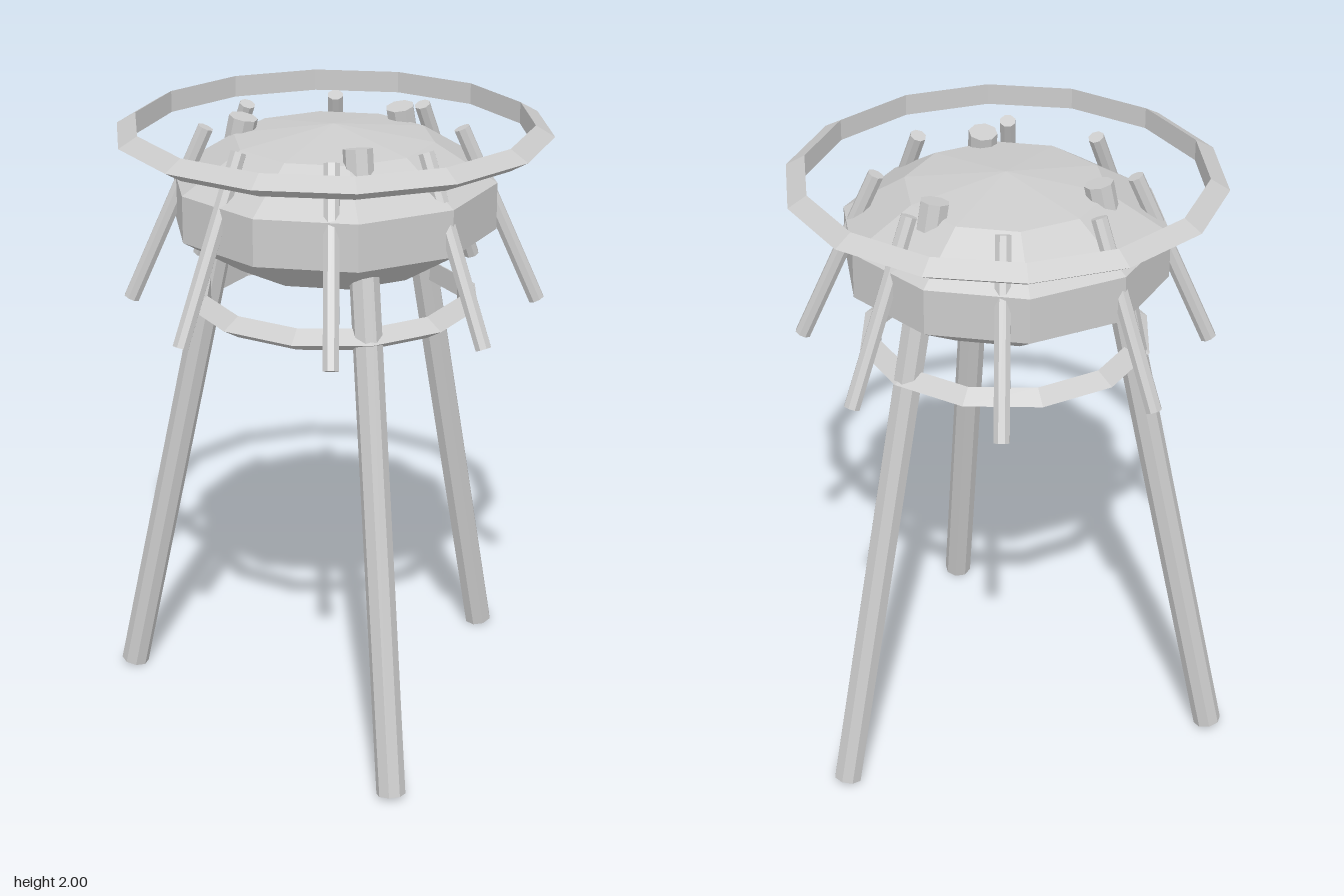
import * as THREE from 'three';

const material = new THREE.MeshStandardMaterial({ color: 0xcccccc, flatShading: true });

function addMesh(parent, name, geometry) {
  const mesh = new THREE.Mesh(geometry, material);
  mesh.name = name;
  parent.add(mesh);
  return mesh;
}

// Eight-sided bars leaning inwards, spread evenly around the y axis.
// bottom and top are [distance from axis, height] of the bar's end centres.
function addBars(parent, name, count, radius, bottom, top) {
  const [r0, y0] = bottom, [r1, y1] = top;
  const geometry = new THREE.CylinderGeometry(radius, radius, Math.hypot(r0 - r1, y1 - y0), 8);
  geometry.rotateY(Math.PI / 8);
  geometry.rotateZ(Math.atan2(r0 - r1, y1 - y0));
  geometry.translate((r0 + r1) / 2, (y0 + y1) / 2, 0);
  for (let i = 0; i < count; i++) {
    addMesh(parent, name, geometry).rotation.y = (i / count) * Math.PI * 2;
  }
}

// Horizontal ring with a three-sided section, pointed outwards
function addRing(parent, name, radius, segments, y) {
  const geometry = new THREE.TorusGeometry(radius, 0.04, 3, segments);
  geometry.rotateX(Math.PI / 2);
  addMesh(parent, name, geometry).position.y = y;
}

export function createModel() {
  const model = new THREE.Group();
  model.name = 'tripodStand';

  const assembly = new THREE.Group();
  assembly.name = 'assembly';
  assembly.position.x = -0.04; // the three legs reach further to +x
  model.add(assembly);

  // Flattened ten-sided body
  const body = addMesh(assembly, 'body', new THREE.SphereGeometry(0.54, 10, 5));
  body.scale.y = 0.445;
  body.rotation.y = Math.PI / 2;
  body.position.y = 1.745;

  // Legs run through the body and poke out of its top
  addBars(assembly, 'leg', 3, 0.046, [0.722, 0.01], [0.293, 1.985]);

  // Short struts around the rim
  addBars(assembly, 'strut', 8, 0.026, [0.645, 1.412], [0.397, 1.972]);

  addRing(assembly, 'upperRing', 0.645, 14, 1.965);
  addRing(assembly, 'lowerRing', 0.43, 12, 1.42);

  return model;
}
